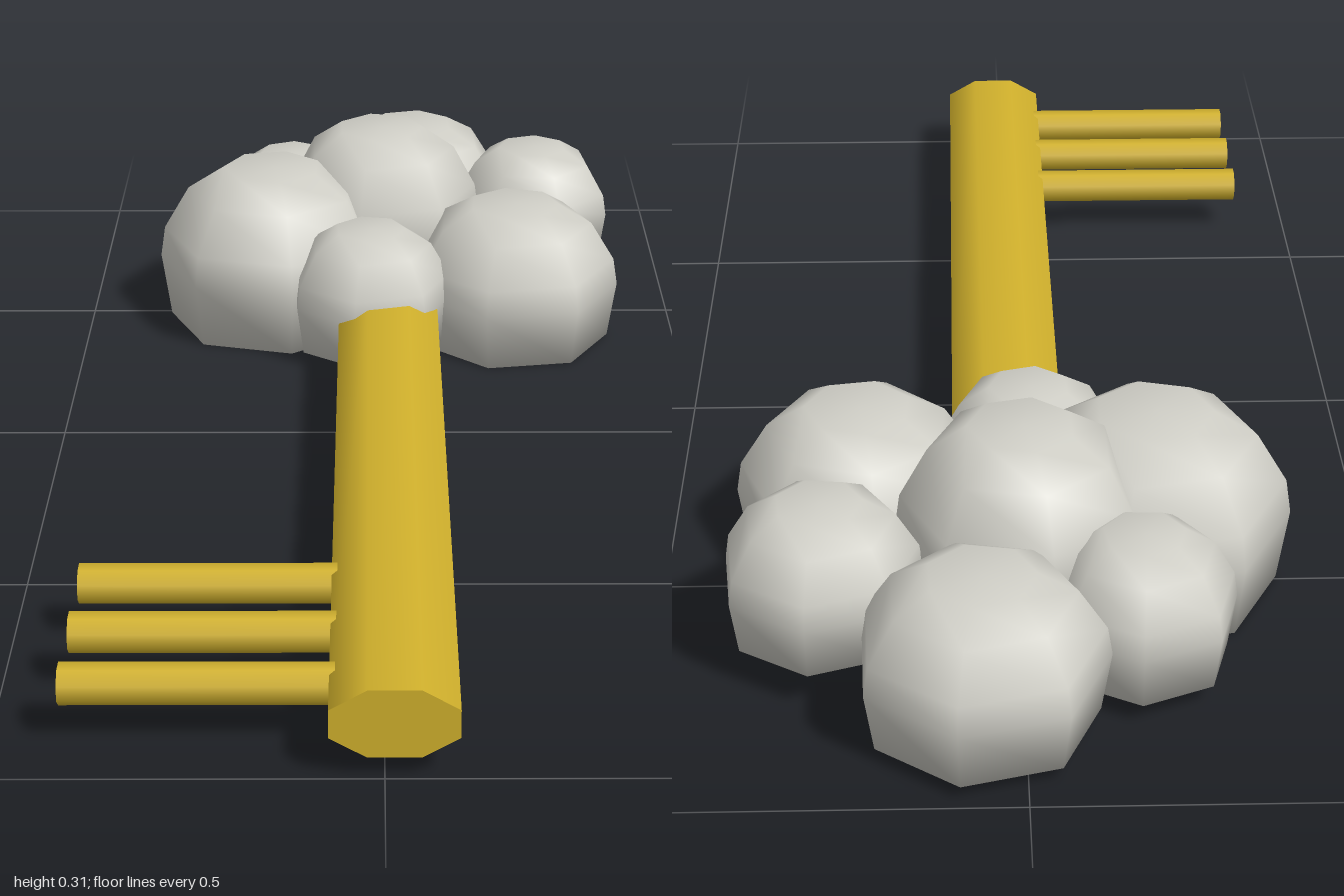
import * as THREE from 'three';

const gold = new THREE.MeshStandardMaterial({ color: 0xd0b02c });
gold.name = 'gold';
const grey = new THREE.MeshStandardMaterial({ color: 0xcfcec6 });
grey.name = 'paleGrey';

// Dome profile, bottom to top: radius fraction, height fraction
const PROFILE = [[0, 0], [0.92, 0], [1, 0.4], [0.96, 0.59], [0.74, 0.86], [0.43, 1], [0, 1.002]];
const SIDES = 7;

// Flat-bottomed puff; (dx, dz) is the direction of one of its corners
function makePuff([name, x, z, radius, bottom, top, dx, dz]) {
  const points = PROFILE.map(([r, h]) => new THREE.Vector2(r * radius, bottom + h * (top - bottom)));
  const mesh = new THREE.Mesh(new THREE.LatheGeometry(points, SIDES, Math.atan2(dx, dz)), grey);
  mesh.name = name;
  mesh.position.set(x, 0, z);
  return mesh;
}

// Eight-sided rod with flats facing the axes, lying along z
function makeRod(name, rx, ry, length) {
  const k = 1 / Math.cos(Math.PI / 8);
  const geometry = new THREE.CylinderGeometry(k, k, length, 8, 1, false, Math.PI / 8);
  geometry.rotateX(Math.PI / 2).scale(rx, ry, 1);
  const mesh = new THREE.Mesh(geometry, gold);
  mesh.name = name;
  return mesh;
}

export function createModel() {
  const model = new THREE.Group();
  model.name = 'puffHeadedKey';

  // Cluster of puffs: name, x, z, radius, bottom, top, corner direction
  const head = new THREE.Group();
  head.name = 'puffHead';
  const puffs = [
    ['centrePuff', 0, -0.585, 0.172, 0.05, 0.31, -8, -33],
    ['backPuff', 0.058, -0.83, 0.17, 0.02, 0.235, 6, -32],
    ['leftBackPuff', 0.27, -0.67, 0.138, 0.057, 0.245, 3, -25],
    ['leftFrontPuff', 0.225, -0.405, 0.177, 0, 0.235, 31, 2],
    ['frontPuff', -0.018, -0.325, 0.137, 0.022, 0.22, -4, 22],
    ['rightPuff', -0.185, -0.487, 0.195, 0, 0.271, -33, -1],
    ['rightBackPuff', -0.158, -0.715, 0.13, 0.03, 0.22, -22, 4],
  ];
  puffs.forEach((p) => head.add(makePuff(p)));
  model.add(head);

  // Broad flattened shaft
  const shaft = makeRod('shaft', 0.0815, 0.0475, 1.27);
  shaft.position.set(0.012, 0.078, 0.365);
  model.add(shaft);

  // Three side teeth
  [0.638, 0.77, 0.9].forEach((z, i) => {
    const tooth = makeRod(`tooth${i + 1}`, 0.0265, 0.025, 0.38);
    tooth.rotation.y = Math.PI / 2;
    tooth.position.set(-0.22, 0.077, z);
    model.add(tooth);
  });

  return model;
}
